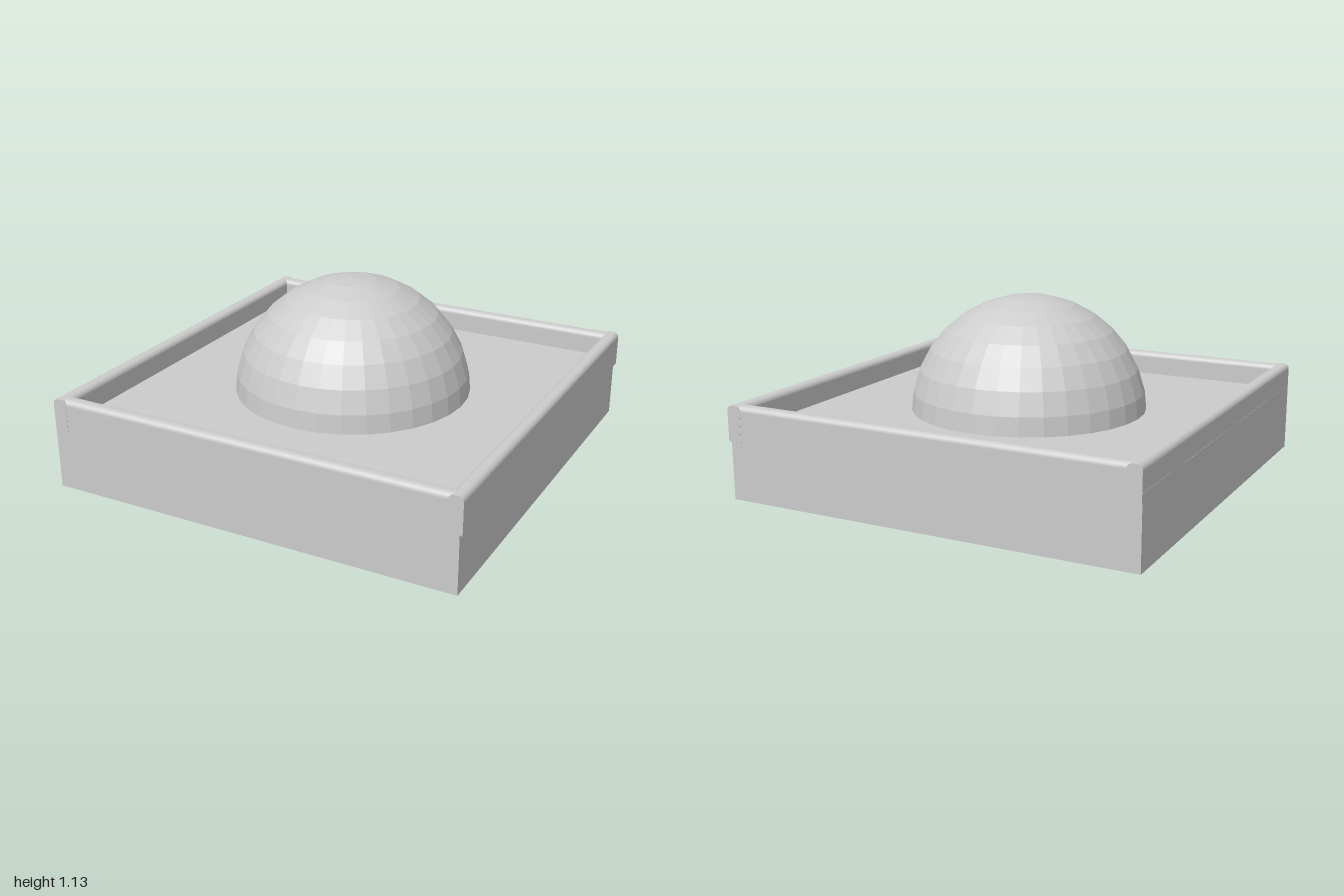
import * as THREE from 'three';

const material = new THREE.MeshStandardMaterial({ color: 0xcccccc });
const facetedMaterial = new THREE.MeshStandardMaterial({ color: 0xcccccc, flatShading: true });

// Rail: upright strip with a rounded top, running along z and centred on it
function railGeometry(length, width = 0.068, height = 0.17, r = 0.026) {
  const w = width / 2;
  const s = new THREE.Shape();
  s.moveTo(-w, 0);
  s.lineTo(w, 0);
  s.lineTo(w, height - r);
  s.absarc(w - r, height - r, r, 0, Math.PI / 2, false);
  s.lineTo(-w + r, height);
  s.absarc(-w + r, height - r, r, Math.PI / 2, Math.PI, false);
  s.closePath();
  const g = new THREE.ExtrudeGeometry(s, { depth: length, bevelEnabled: false, curveSegments: 6 });
  return g.translate(0, 0, -length / 2);
}

export function createModel() {
  const model = new THREE.Group();
  model.name = 'trayWithBall';
  const add = (name, geometry, mat, x, y, z) => {
    const mesh = new THREE.Mesh(geometry, mat);
    mesh.name = name;
    mesh.position.set(x, y, z);
    model.add(mesh);
    return mesh;
  };

  // Square slab, a little short of the left rail's outer face
  const bottom = 0.26, floor = 0.588;
  add('slab', new THREE.BoxGeometry(1.987, floor - bottom, 1.996), material, -0.0065, (floor + bottom) / 2, 0);

  // Raised border: side rails run full length, front and back rails fit between
  const sideRail = railGeometry(2);
  const endRail = railGeometry(1.93);
  add('leftRail', sideRail, material, 0.966, 0.532, 0);
  add('rightRail', sideRail, material, -0.965, 0.532, 0);
  for (const [name, side] of [['frontRail', 1], ['backRail', -1]]) {
    add(name, endRail, material, 0, 0.532, side * 0.965).rotation.y = Math.PI / 2;
  }

  // Faceted ball passing through the slab
  add('ball', new THREE.SphereGeometry(0.566, 32, 16), facetedMaterial, -0.006, 0.566, 0);

  return model;
}
